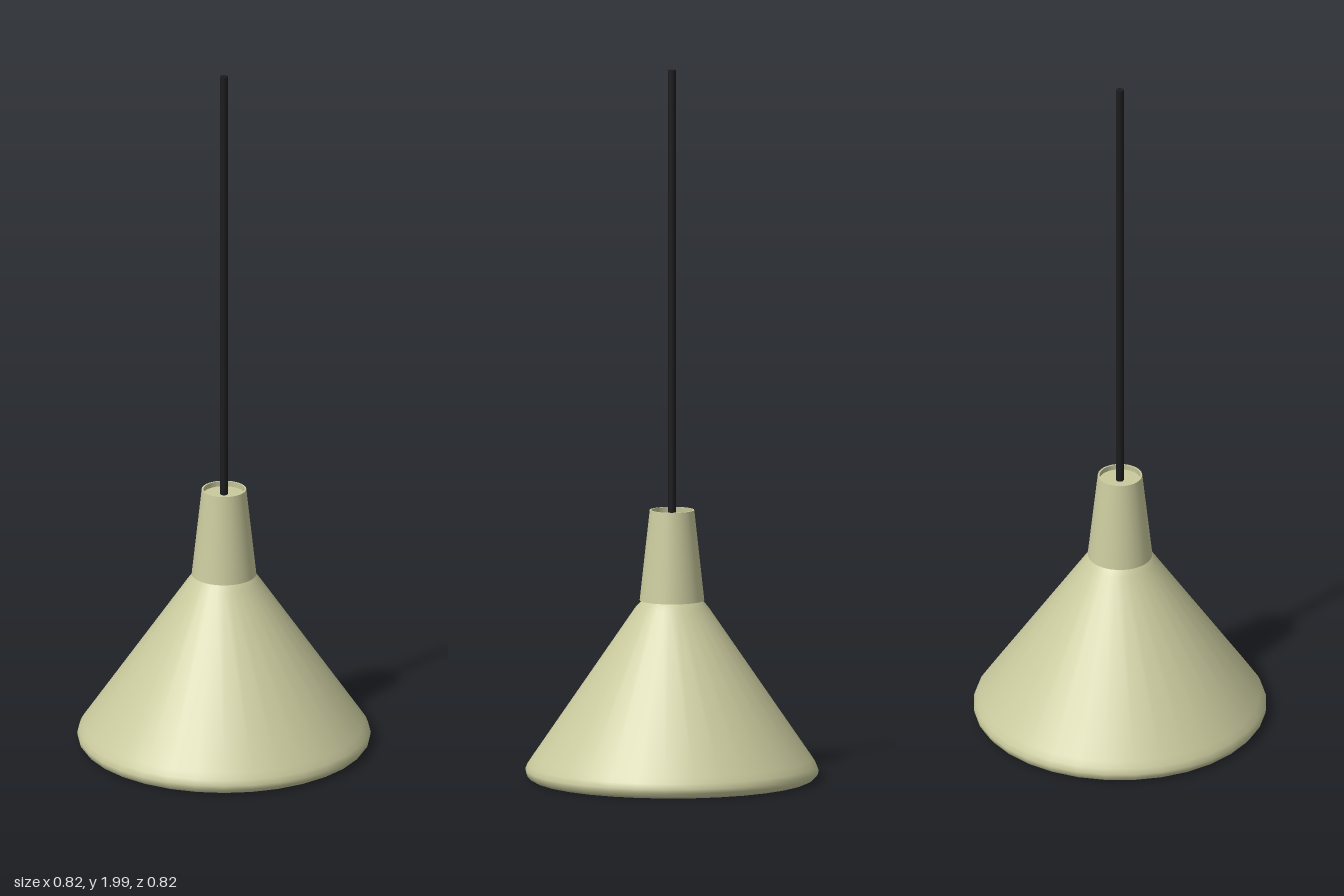
import * as THREE from 'three';

const paint = new THREE.MeshStandardMaterial({ color: 0xcaca9e, side: THREE.DoubleSide });
const black = new THREE.MeshStandardMaterial({ color: 0x1c1c1e });
const glass = new THREE.MeshStandardMaterial({ color: 0xcccccc });

// Revolves a profile of [radius, height] points about the vertical axis
function turned(name, points, segments, material) {
  const profile = points.map(([r, y]) => new THREE.Vector2(r, y));
  const mesh = new THREE.Mesh(new THREE.LatheGeometry(profile, segments), material);
  mesh.name = name;
  return mesh;
}

export function createModel() {
  const lamp = new THREE.Group();
  lamp.name = 'pendantLamp';

  // Conical shade with a thin wall and a rolled rim
  lamp.add(turned('shadeOuter', [[0.398, 0.015], [0.406, 0.025], [0.408, 0.037], [0.402, 0.052], [0.39, 0.07], [0.1, 0.494], [0.08, 0.515]], 32, paint));
  lamp.add(turned('shadeRim', [[0.375, 0.03], [0.38, 0.013], [0.388, 0.01], [0.398, 0.015]], 32, paint));
  lamp.add(turned('shadeInner', [[0.07, 0.505], [0.088, 0.49], [0.375, 0.06], [0.375, 0.03]], 32, paint));

  // Tapered neck sleeve, hollow at the top
  lamp.add(turned('neck', [[0.09, 0.512], [0.062, 0.765]], 32, paint));
  lamp.add(turned('neckLip', [[0.062, 0.765], [0.057, 0.765]], 32, paint));
  lamp.add(turned('neckInside', [[0.057, 0.765], [0.059, 0.74]], 32, paint));
  lamp.add(turned('neckBase', [[0.09, 0.512], [0.07, 0.512]], 32, paint));

  // Recessed cap that the cord passes through
  const cap = new THREE.Mesh(new THREE.CylinderGeometry(0.058, 0.058, 0.012, 24), paint);
  cap.name = 'neckCap';
  cap.position.y = 0.744;
  lamp.add(cap);

  // Hanging cord
  const cord = new THREE.Mesh(new THREE.CylinderGeometry(0.011, 0.011, 1.26, 10), black);
  cord.name = 'cord';
  cord.position.y = 1.37;
  lamp.add(cord);

  // Socket and pear-shaped bulb
  const socket = new THREE.Mesh(new THREE.CylinderGeometry(0.05, 0.05, 0.2, 20), paint);
  socket.name = 'socket';
  socket.position.y = 0.46;
  lamp.add(socket);
  lamp.add(turned('bulb', [[0, 0.085], [0.03, 0.09], [0.06, 0.11], [0.079, 0.14], [0.085, 0.17], [0.08, 0.205], [0.065, 0.245], [0.047, 0.29], [0.04, 0.37]], 20, glass));

  return lamp;
}
